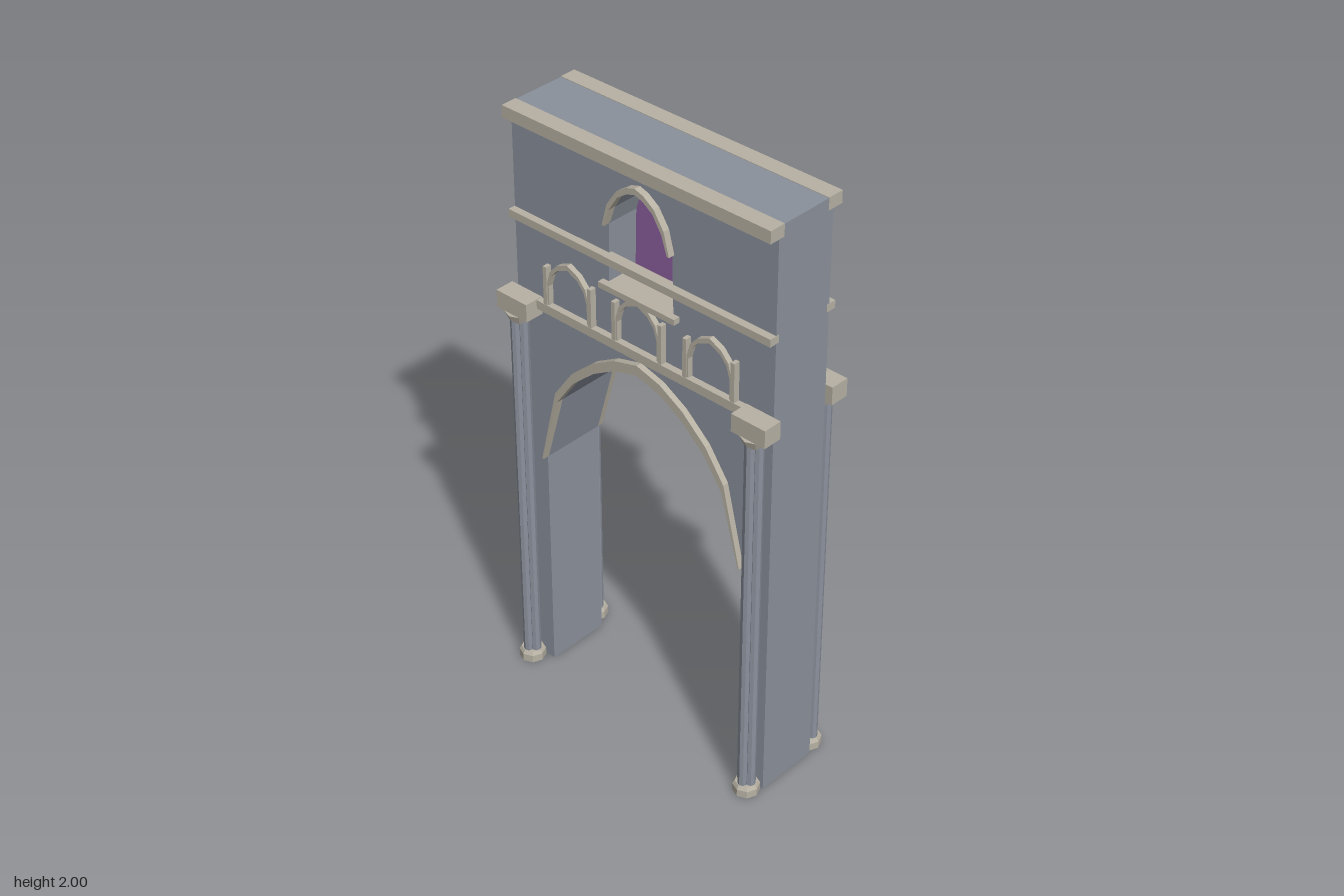
import * as THREE from 'three';

const mat = (name, color, extra = {}) => {
  const m = new THREE.MeshStandardMaterial({ color, ...extra });
  m.name = name;
  return m;
};

export function createModel() {
  const stone = mat('grey stone', 0x8b919c, { flatShading: true });
  const trim = mat('pale trim', 0xb8b2a4, { flatShading: true });
  const glass = mat('purple glass', 0x8c5f9e, { side: THREE.DoubleSide });
  const model = new THREE.Group();
  model.name = 'gateway';

  const add = (parent, name, geo, material, x = 0, y = 0, z = 0) => {
    const m = new THREE.Mesh(geo, material);
    m.name = name;
    m.position.set(x, y, z);
    parent.add(m);
    return m;
  };
  // box given by its limits
  const box = (parent, name, material, x0, x1, y0, y1, z0, z1) =>
    add(parent, name, new THREE.BoxGeometry(x1 - x0, y1 - y0, z1 - z0), material,
      (x0 + x1) / 2, (y0 + y1) / 2, (z0 + z1) / 2);

  // half profiles run from springing to apex on the +x side
  const full = (half) => [...half, ...half.slice(0, -1).reverse().map(([x, y]) => [-x, y])];
  const vecs = (pts) => pts.map(([x, y]) => new THREE.Vector2(x, y));
  const extrude = (shape, depth) => new THREE.ExtrudeGeometry(shape, { depth, bevelEnabled: false });
  const archBand = (outer, inner, depth) =>
    extrude(new THREE.Shape(vecs([...full(outer), ...full(inner).reverse()])), depth);

  const archIn = [[0.398, 0.81], [0.33, 1.055], [0.26, 1.155], [0.175, 1.23], [0.09, 1.28], [0, 1.305]];
  const archOut = [[0.402, 0.815], [0.337, 1.085], [0.267, 1.185], [0.177, 1.265], [0.09, 1.315], [0, 1.34]];
  const winIn = [[0.12, 1.755], [0.1, 1.815], [0.066, 1.868], [0.03, 1.893], [0, 1.902]];
  const winOut = [[0.128, 1.755], [0.108, 1.83], [0.071, 1.885], [0.032, 1.912], [0, 1.922]];
  const blindIn = [[0.077, 1.39], [0.077, 1.455], [0.065, 1.495], [0.04, 1.523], [0, 1.541]];
  const blindOut = [[0.084, 1.39], [0.084, 1.462], [0.071, 1.507], [0.043, 1.538], [0, 1.557]];

  // wall with the gate opening and window hole
  const wallShape = new THREE.Shape(vecs([
    [0.5, 0], [0.5, 1.998], [-0.5, 1.998], [-0.5, 0], [-0.4, 0],
    ...full(archIn).reverse(), [0.4, 0],
  ]));
  const windowOutline = [[0.125, 1.55], ...full(winIn), [-0.125, 1.55]];
  wallShape.holes.push(new THREE.Path(vecs(windowOutline)));
  add(model, 'wall', extrude(wallShape, 0.22), stone, 0, 0, -0.11);

  // window pane in the middle of the wall, sill through it
  add(model, 'windowPane', new THREE.ShapeGeometry(new THREE.Shape(vecs(windowOutline))), glass);
  box(model, 'windowSill', trim, -0.147, 0.147, 1.543, 1.562, -0.132, 0.132);

  // clustered column with base, bell and capital
  const column = (parent, side) => {
    const c = new THREE.Group();
    c.name = 'column';
    c.position.set(side * 0.463, 0, 0.145);
    parent.add(c);
    add(c, 'basePlinth', new THREE.CylinderGeometry(0.043, 0.043, 0.026, 8), trim, 0, 0.013);
    add(c, 'baseTaper', new THREE.CylinderGeometry(0.036, 0.043, 0.012, 8), trim, 0, 0.032);
    for (let i = 0; i < 4; i++) {
      const a = i * Math.PI / 2;
      add(c, 'shaft', new THREE.CylinderGeometry(0.016, 0.016, 1.28, 8), stone,
        Math.sin(a) * 0.017, 0.67, Math.cos(a) * 0.017);
    }
    add(c, 'capitalBell', new THREE.CylinderGeometry(0.043, 0.031, 0.028, 8), trim, 0, 1.317);
    box(c, 'capitalBlock', trim, -0.062, 0.062, 1.33, 1.39, -0.035, 0.03);
  };

  // both faces carry the same ornament
  for (const turn of [0, Math.PI]) {
    const face = new THREE.Group();
    face.name = turn ? 'backFace' : 'frontFace';
    face.rotation.y = turn;
    model.add(face);
    box(face, 'cornice', trim, -0.501, 0.501, 1.96, 2, 0.09, 0.145);
    box(face, 'upperBand', trim, -0.501, 0.501, 1.633, 1.658, 0.1, 0.135);
    box(face, 'lowerBand', trim, -0.402, 0.402, 1.358, 1.388, 0.1, 0.132);
    add(face, 'gateArchTrim', archBand(archOut, archIn, 0.024), trim, 0, 0, 0.106);
    add(face, 'windowArchTrim', archBand(winOut, winIn, 0.026), trim, 0, 0, 0.106);
    // blind arcade
    for (const x of [-0.275, 0, 0.275]) {
      add(face, 'blindArch', archBand(blindOut, blindIn, 0.022), trim, x, 0, 0.106);
      for (const s of [-1, 1])
        box(face, 'blindArchPost', trim, x + s * 0.09 - 0.007, x + s * 0.09 + 0.007, 1.386, 1.517, 0.106, 0.131);
    }
    column(face, -1);
    column(face, 1);
  }
  return model;
}
